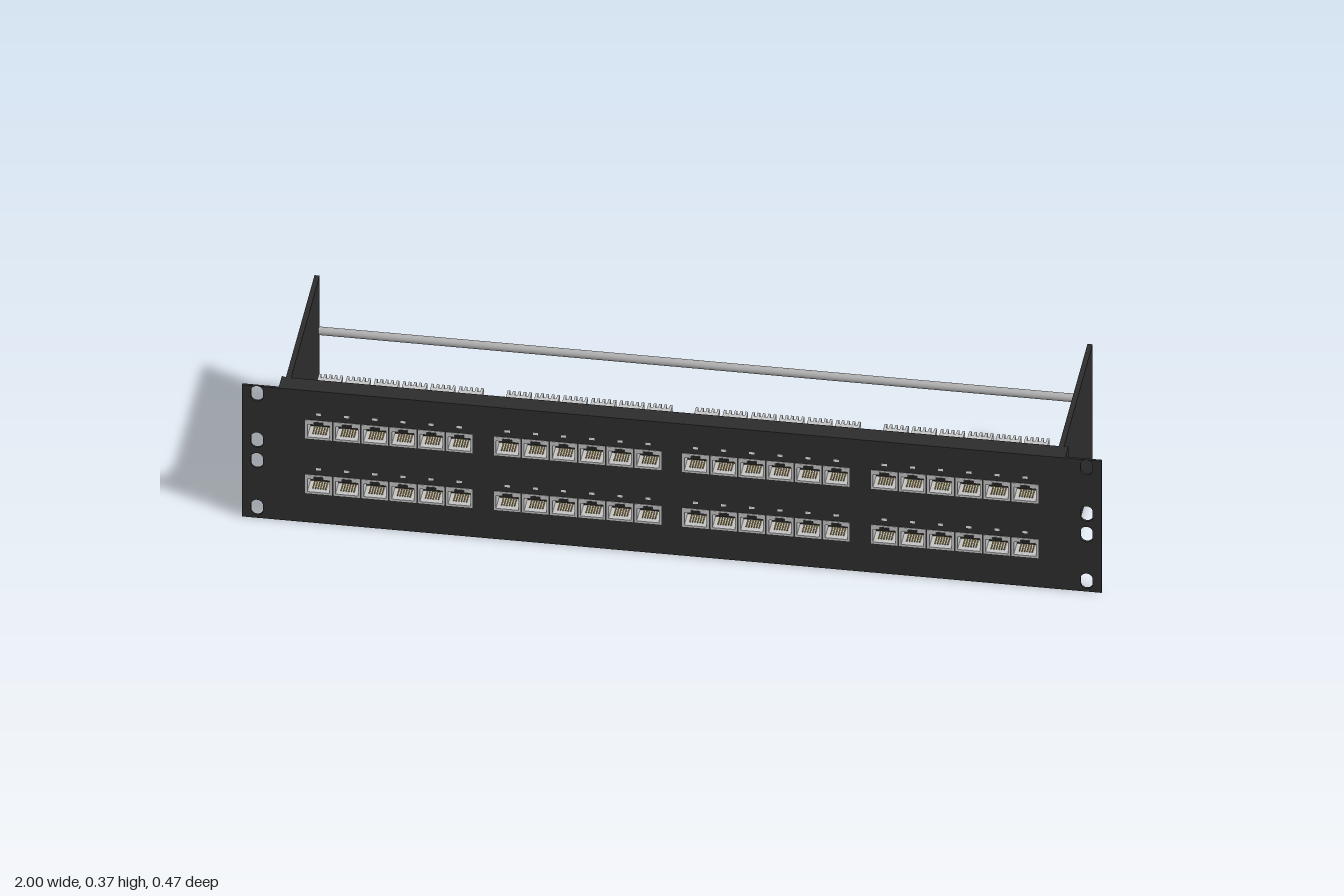
import * as THREE from 'three';

const mat = (name, color) => {
  const m = new THREE.MeshStandardMaterial({ color });
  m.name = name;
  return m;
};

export function createModel() {
  const root = new THREE.Group();
  root.name = 'patchPanel';
  const black = mat('black metal', 0x2d2d2d);
  const dark = mat('dark plastic', 0x242424);
  const grey = mat('light grey plastic', 0xc4c4c4);
  const steel = mat('steel', 0xb0b0b0);
  const gold = mat('gold contacts', 0xb89a50);
  const white = mat('white label', 0xf0f0f0);

  const H = 0.366, FRONT = 0.234, SHEET = 0.006;
  const PITCH = 0.0655, JW = 0.062, JH = 0.052;
  const rows = [0.259, 0.107];
  const groups = [-0.658, -0.219, 0.219, 0.658];

  const add = (parent, name, geo, material, x = 0, y = 0, z = 0) => {
    const m = new THREE.Mesh(geo, material);
    m.name = name;
    m.position.set(x, y, z);
    parent.add(m);
    return m;
  };
  const box = (parent, name, material, w, h, d, x, y, z) =>
    add(parent, name, new THREE.BoxGeometry(w, h, d), material, x, y, z);
  const rect = (Type, x, y, w, h) => new Type([
    [-1, -1], [1, -1], [1, 1], [-1, 1],
  ].map(([a, b]) => new THREE.Vector2(x + a * w / 2, y + b * h / 2)));

  // Front panel with mounting slots and port openings
  const face = rect(THREE.Shape, 0, H / 2, 2, H);
  for (const x of [-0.965, 0.965]) {
    for (const y of [0.345, 0.216, 0.159, 0.029]) {
      const r = 0.014, s = 0.007, slot = new THREE.Path();
      slot.absarc(x, y + s, r, 0, Math.PI, false);
      slot.absarc(x, y - s, r, Math.PI, Math.PI * 2, false);
      slot.closePath();
      face.holes.push(slot);
    }
  }
  const ports = [];
  for (const y of rows) {
    for (const g of groups) {
      for (let i = 0; i < 6; i++) ports.push([g + (i - 2.5) * PITCH, y]);
    }
  }
  for (const [x, y] of ports) face.holes.push(rect(THREE.Path, x, y, JW, JH));
  add(root, 'frontPanel',
    new THREE.ExtrudeGeometry(face, { depth: SHEET, bevelEnabled: false, curveSegments: 8 }),
    black, 0, 0, FRONT - SHEET);

  // Folded lips around the back of the panel
  for (const y of [SHEET / 2, H - SHEET / 2]) {
    box(root, 'panelLip', black, 1.83, SHEET, 0.04, 0, y, 0.208);
  }
  for (const s of [-1, 1]) {
    box(root, 'sideLip', black, SHEET, H, 0.043, s * 0.912, H / 2, 0.2065);
    box(root, 'sidePlate', black, 0.012, H, 0.462, s * 0.899, H / 2, -0.003);
  }

  // Rear cable support rods
  for (const y of [0.22, 0.034]) {
    const rod = add(root, 'cableRod', new THREE.CylinderGeometry(0.01, 0.01, 1.79, 16), steel, 0, y, -0.223);
    rod.rotation.z = Math.PI / 2;
  }

  // Shared jack shapes: a hollow sleeve with a latch notch at the top
  const sleeve = rect(THREE.Shape, 0, 0, JW, JH);
  const mouth = [
    [-0.026, -0.021], [0.026, -0.021], [0.026, 0.014], [0.011, 0.014],
    [0.011, 0.021], [-0.011, 0.021], [-0.011, 0.014], [-0.026, 0.014],
  ];
  sleeve.holes.push(new THREE.Path(mouth.map(([x, y]) => new THREE.Vector2(x, y))));
  const sleeveGeo = new THREE.ExtrudeGeometry(sleeve, { depth: 0.06, bevelEnabled: false });
  const backGeo = new THREE.BoxGeometry(0.058, 0.048, 0.012);
  const bodyGeo = new THREE.BoxGeometry(0.058, 0.044, 0.072);
  const pinGeo = new THREE.BoxGeometry(0.0025, 0.003, 0.03);
  const labelGeo = new THREE.BoxGeometry(0.012, 0.006, 0.001);
  const blockGeo = new THREE.BoxGeometry(0.056, 0.07, 0.046);
  const slotGeo = new THREE.BoxGeometry(0.053, 0.067, 0.002);
  const toothGeo = new THREE.BoxGeometry(0.006, 0.07, 0.016);

  for (const [x, y] of ports) {
    const jack = new THREE.Group();
    jack.name = 'jack';
    jack.position.set(x, y, 0);
    root.add(jack);
    add(jack, 'jackSleeve', sleeveGeo, grey, 0, 0, 0.175);
    add(jack, 'jackBack', backGeo, dark, 0, 0, 0.183);
    for (let i = 0; i < 6; i++) {
      add(jack, 'contact', pinGeo, gold, (i - 2.5) * 0.006, -0.0185, 0.208);
    }
    add(jack, 'portLabel', labelGeo, white, 0, 0.043, FRONT);
    add(jack, 'jackBody', bodyGeo, dark, 0, 0, 0.144);

    // Punch-down block with wire teeth
    add(jack, 'punchBlock', blockGeo, grey, 0, -0.005, 0.088);
    add(jack, 'wireSlots', slotGeo, dark, 0, -0.005, 0.0645);
    for (let i = 0; i < 5; i++) {
      add(jack, 'wireTooth', toothGeo, grey, (i - 2) * 0.0125, -0.005, 0.058);
    }
  }
  return root;
}
